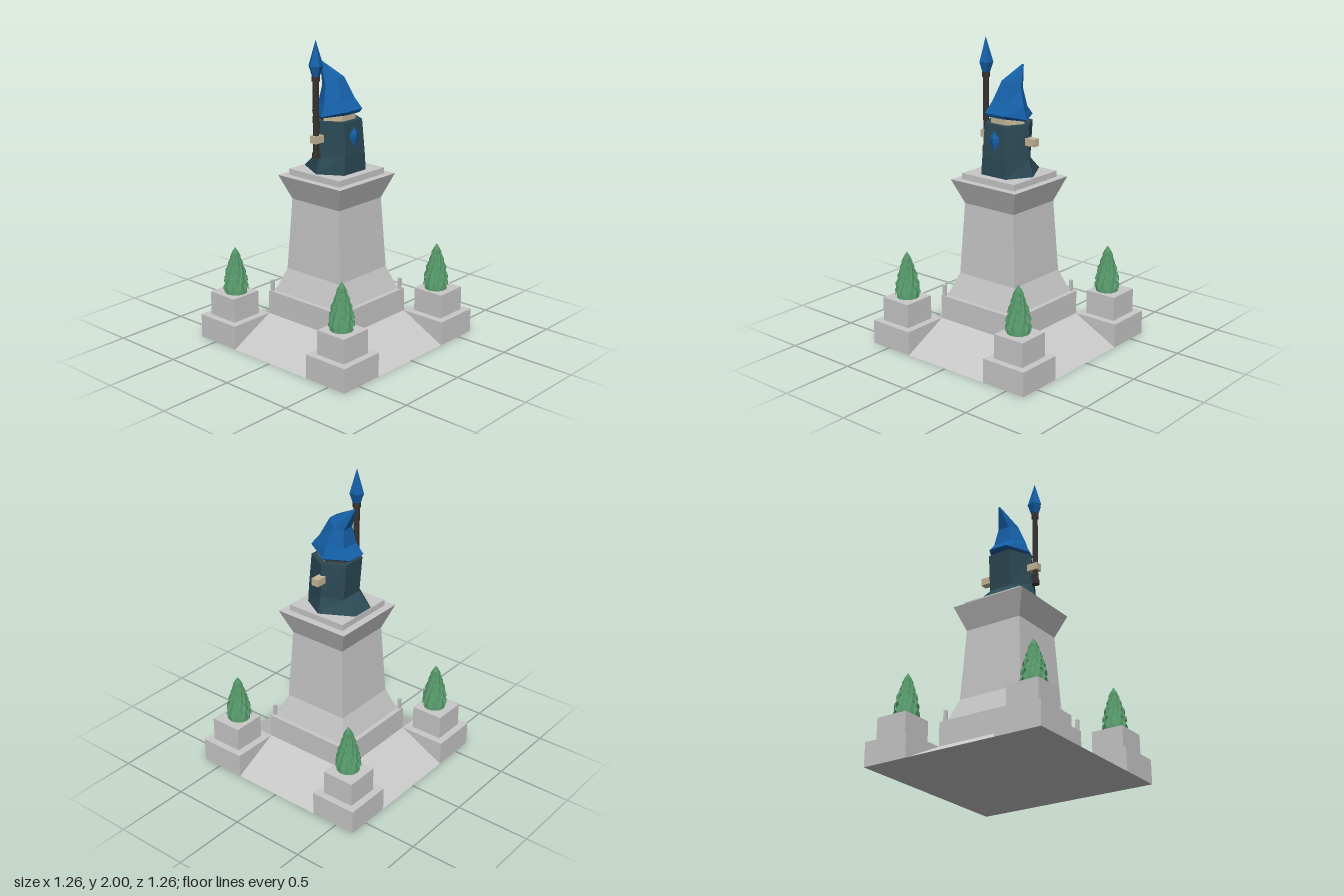
import * as THREE from 'three';

const mat = (name, color, side = THREE.FrontSide) =>
  Object.assign(new THREE.MeshStandardMaterial({ color, flatShading: true, side }), { name });

// Joins rings of [x, y, z] points (ordered from +z towards +x) and caps both ends.
function loft(rings) {
  const pos = [];
  const tri = (a, b, c) => pos.push(...a, ...b, ...c);
  const n = rings[0].length;
  for (let i = 0; i < rings.length - 1; i++) {
    for (let j = 0; j < n; j++) {
      const k = (j + 1) % n;
      const [a, b, c, d] = [rings[i][j], rings[i][k], rings[i + 1][k], rings[i + 1][j]];
      tri(a, b, c);
      tri(a, c, d);
    }
  }
  const first = rings[0], last = rings[rings.length - 1];
  for (let j = 1; j < n - 1; j++) {
    tri(first[0], first[j + 1], first[j]);
    tri(last[0], last[j], last[j + 1]);
  }
  const g = new THREE.BufferGeometry();
  g.setAttribute('position', new THREE.Float32BufferAttribute(pos, 3));
  g.computeVertexNormals();
  return g;
}

const square = (y, r) => [[r, y, r], [r, y, -r], [-r, y, -r], [-r, y, r]];

// Six-sided ring: heights and half-widths of its front, middle and back corners.
const hex = ([yf, ym, yb], [wf, wm, wb], [zf, zm, zb]) => [
  [wf, yf, zf], [wm, ym, zm], [wb, yb, zb], [-wb, yb, zb], [-wm, ym, zm], [-wf, yf, zf],
];

export function createModel() {
  const model = new THREE.Group();
  model.name = 'wizardStatue';
  const stone = mat('stone', 0xc8c8c8);
  const robeMat = mat('robeTeal', 0x2c4a56);
  const blue = mat('hatBlue', 0x1560a8);
  const skin = mat('skin', 0xc6b898);
  const hairMat = mat('hairBrown', 0x4a3a2c);
  const wood = mat('staffWood', 0x37332f);
  const green = mat('leafGreen', 0x559668, THREE.DoubleSide);

  const add = (name, geo, m, x = 0, y = 0, z = 0, parent = model) => {
    const mesh = new THREE.Mesh(geo, m);
    mesh.name = name;
    mesh.position.set(x, y, z);
    parent.add(mesh);
    return mesh;
  };
  const box = (name, m, w, h, d, x, y, z, parent) =>
    add(name, new THREE.BoxGeometry(w, h, d), m, x, y, z, parent);

  // Sloped ramps between the corner blocks, and the plinth above them
  add('ramps', loft([square(0, 0.632), square(0.16, 0.316)]), stone);
  box('plinth', stone, 0.632, 0.16, 0.632, 0, 0.24, 0);

  // Pedestal shaft with flared foot and cornice
  add('pedestal', loft([
    square(0.32, 0.285), square(0.475, 0.228), square(0.95, 0.202), square(1.11, 0.265),
  ]), stone);
  box('pedestalCap', stone, 0.43, 0.04, 0.43, 0, 1.13, 0);

  // Layered tree; the hem of every tier is cut into points
  const tiers = [
    [0.083, 0.035, 0.15], [0.079, 0.085, 0.20], [0.067, 0.14, 0.25],
    [0.05, 0.19, 0.285], [0.035, 0.235, 0.31],
  ];
  const makeTree = () => {
    const tree = new THREE.Group();
    tree.name = 'tree';
    tiers.forEach(([r, low, high], t) => {
      const sides = 20;
      const g = new THREE.ConeGeometry(r, high - low, sides, 2, true, t * 0.16);
      const p = g.attributes.position;
      for (let i = 0; i < p.count; i++) {
        const row = Math.floor(i / (sides + 1)), col = i % (sides + 1);
        if (row === 1) {
          p.setX(i, p.getX(i) * 1.3);
          p.setZ(i, p.getZ(i) * 1.3);
        }
        if (row === 2) p.setY(i, p.getY(i) + (col % 2 ? 0.012 : -0.022));
      }
      add('treeTier', g, green, 0, (low + high) / 2, 0, tree);
    });
    add('treeTrunkLeaves', new THREE.CylinderGeometry(0.06, 0.074, 0.08, 12), green, 0, 0.04, 0, tree);
    return tree;
  };

  // Four corners: block, planter, tree and small post
  for (const sx of [-1, 1]) {
    for (const sz of [-1, 1]) {
      box('cornerBlock', stone, 0.316, 0.16, 0.316, sx * 0.474, 0.08, sz * 0.474);
      box('planter', stone, 0.22, 0.16, 0.22, sx * 0.475, 0.24, sz * 0.475);
      const tree = makeTree();
      tree.position.set(sx < 0 ? -0.475 : 0.46, 0.32, sz < 0 ? -0.46 : 0.468);
      model.add(tree);
      box('cornerPost', stone, 0.02, 0.075, 0.02,
        sx < 0 ? -0.299 : 0.285, 0.357, sz < 0 ? -0.296 : 0.302);
    }
  }

  // Robe
  add('robe', loft([
    hex([1.15, 1.15, 1.15], [0.102, 0.195, 0.078], [0.157, 0, -0.21]),
    hex([1.27, 1.26, 1.238], [0.093, 0.165, 0.08], [0.155, 0, -0.115]),
    hex([1.483, 1.483, 1.483], [0.083, 0.157, 0.08], [0.14, 0, -0.137]),
  ]), robeMat);

  // Head: face in front, hair behind
  const half = (front) => {
    const s = front ? 1 : -1;
    const ring = (y) => [[0.062, y, 0.105 * s], [0.122, y, 0], [-0.122, y, 0], [-0.062, y, 0.105 * s]];
    const rings = [ring(1.47), ring(1.56)];
    return loft(front ? rings : rings.map((r) => r.reverse()));
  };
  add('face', half(true), skin);
  add('hair', half(false), hairMat);

  // Pointed hat bent backwards
  add('hat', loft([
    hex([1.528, 1.5, 1.505], [0.062, 0.135, 0.062], [0.135, 0, -0.145]),
    hex([1.55, 1.51, 1.515], [0.08, 0.143, 0.065], [0.145, 0, -0.155]),
    hex([1.62, 1.59, 1.575], [0.062, 0.117, 0.065], [0.092, 0, -0.1]),
    hex([1.745, 1.7, 1.69], [0.036, 0.07, 0.042], [0.03, -0.03, -0.085]),
    hex([1.83, 1.828, 1.826], [0.003, 0.005, 0.003], [-0.13, -0.135, -0.14]),
  ]), blue);

  // Chest gem
  const gemRing = (y, w, d) => [[0, y, d], [w, y, 0], [0, y, -d], [-w, y, 0]];
  add('chestGem', loft([
    gemRing(1.292, 0.001, 0.001), gemRing(1.375, 0.04, 0.018),
    gemRing(1.4, 0.04, 0.018), gemRing(1.445, 0.001, 0.001),
  ]), blue, 0, 0, 0.147);

  // Hands
  for (const s of [-1, 1]) box('hand', skin, 0.075, 0.048, 0.05, s * 0.183, 1.377, 0);

  // Spear-tipped staff
  const staff = new THREE.Group();
  staff.name = 'staff';
  staff.position.x = -0.193;
  model.add(staff);
  const start = -Math.PI / 2;
  const rod = (name, m, rt, rb, lo, hi, sides) =>
    add(name, new THREE.CylinderGeometry(rt, rb, hi - lo, sides, 1, false, start), m, 0, (lo + hi) / 2, 0, staff);
  rod('staffShaft', wood, 0.02, 0.02, 1.27, 1.76, 6);
  rod('staffLowerCollar', wood, 0.027, 0.027, 1.255, 1.29, 6);
  rod('staffUpperCollar', wood, 0.027, 0.027, 1.745, 1.778, 6);
  rod('spearBase', blue, 0.048, 0.022, 1.765, 1.842, 5);
  rod('spearTip', blue, 0.001, 0.048, 1.842, 2, 5);

  return model;
}
